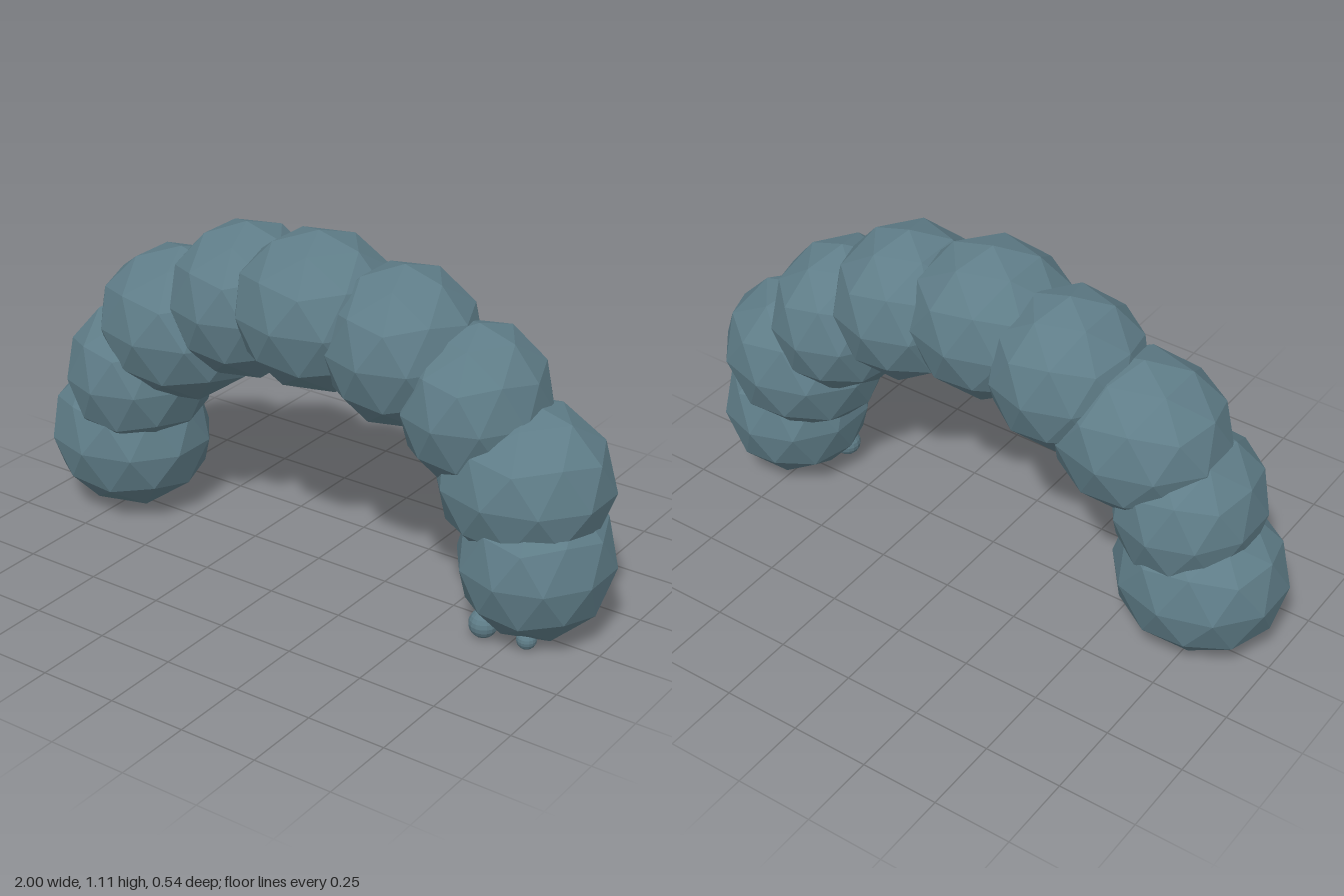
import * as THREE from 'three';

// Faceted ball with a vertex at each pole and a upper-ring vertex toward +x
function facetedBall() {
  const g = new THREE.IcosahedronGeometry(1, 1);
  g.rotateZ(-Math.atan(2 / (1 + Math.sqrt(5))));
  return g;
}

export function createModel() {
  const model = new THREE.Group();
  model.name = 'archedCaterpillar';
  const skin = new THREE.MeshStandardMaterial({ color: 0x5f7d88, flatShading: true });
  skin.name = 'slate blue';

  // Body segments from tail to head: centre x, y, z and half width along x
  const segments = [
    [-0.74, 0.255, 0.013, 0.273],
    [-0.685, 0.485, 0.02, 0.232],
    [-0.52, 0.685, 0.002, 0.28],
    [-0.275, 0.815, -0.012, 0.242],
    [0.015, 0.86, 0.02, 0.268],
    [0.307, 0.815, 0.005, 0.24],
    [0.549, 0.685, -0.015, 0.225],
    [0.714, 0.483, -0.022, 0.275],
    [0.773, 0.255, -0.007, 0.237],
  ];
  segments.forEach(([x, y, z, rx], i) => {
    const g = facetedBall();
    g.scale(rx, 0.25, 0.25);
    g.computeVertexNormals();
    const ball = new THREE.Mesh(g, skin);
    ball.name = i === segments.length - 1 ? 'head' : `bodySegment${i + 1}`;
    ball.position.set(x, y, z);
    model.add(ball);
  });

  // Two small eyes under the front of the head
  for (const [name, x, y, z, r] of [
    ['rightEye', 0.665, 0.046, 0.1, 0.045],
    ['leftEye', 0.805, 0.034, 0.088, 0.031],
  ]) {
    const eye = new THREE.Mesh(new THREE.SphereGeometry(r, 16, 10), skin);
    eye.name = name;
    eye.position.set(x, y, z);
    model.add(eye);
  }
  return model;
}
